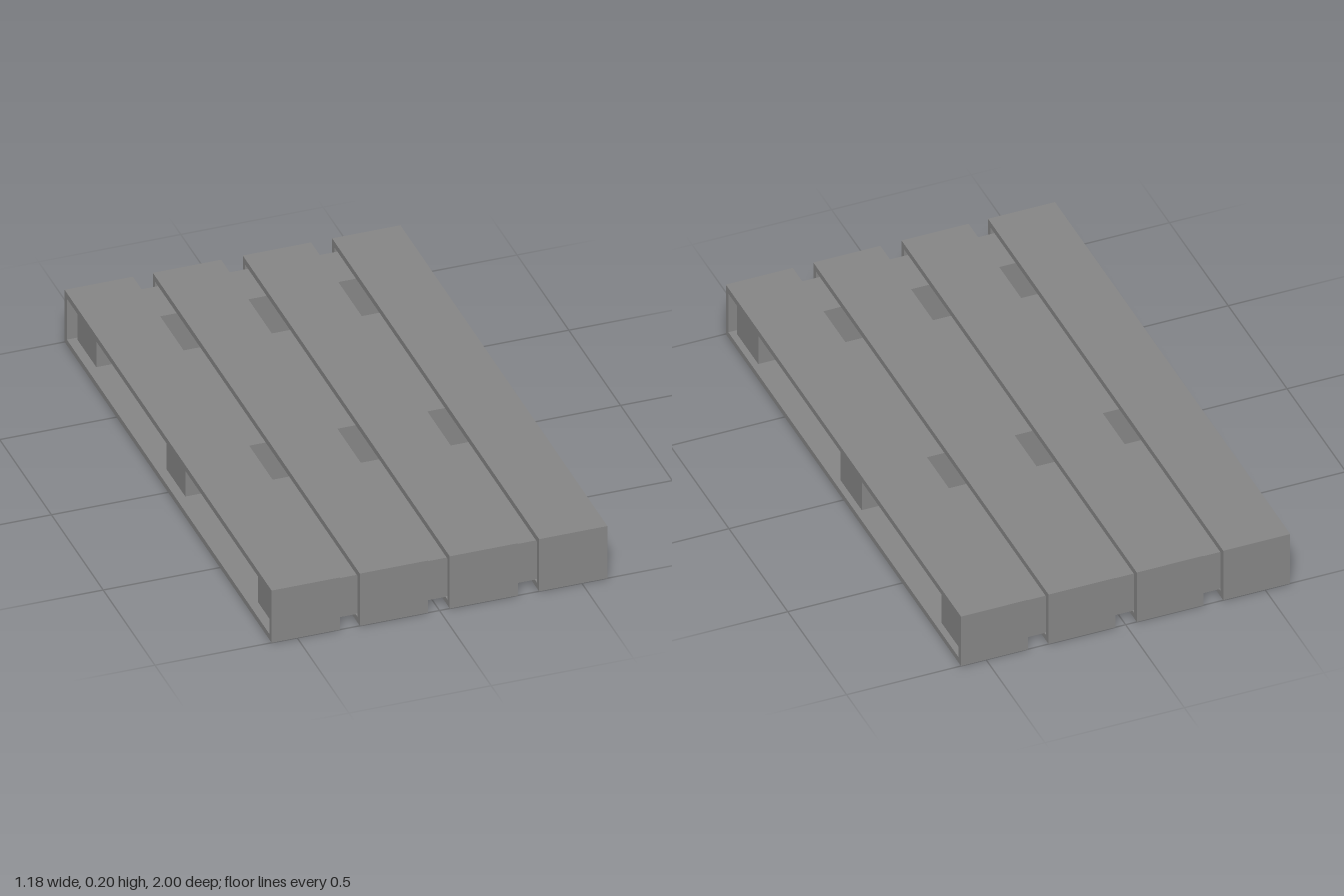
import * as THREE from 'three';

const HEIGHT = 0.203, LENGTH = 2, WALL = 0.022, SLAT_WIDTH = 0.24;

function rectangle(path, halfLength, bottom, top) {
  path.moveTo(-halfLength, bottom);
  path.lineTo(halfLength, bottom);
  path.lineTo(halfLength, top);
  path.lineTo(-halfLength, top);
  path.closePath();
  return path;
}

export function createModel() {
  const pallet = new THREE.Group();
  pallet.name = 'pallet';
  const material = new THREE.MeshStandardMaterial({ color: 0x868686 });

  // Hollow slats: rectangular loops running front to back, open at the sides
  const outline = rectangle(new THREE.Shape(), LENGTH / 2, 0, HEIGHT);
  outline.holes.push(rectangle(new THREE.Path(), LENGTH / 2 - WALL, WALL, HEIGHT - WALL));
  const slatGeometry = new THREE.ExtrudeGeometry(outline, { depth: SLAT_WIDTH, bevelEnabled: false });
  slatGeometry.translate(0, 0, -SLAT_WIDTH / 2).rotateY(Math.PI / 2);
  [-0.47, -0.16, 0.156, 0.47].forEach((x, i) => {
    const slat = new THREE.Mesh(slatGeometry, material);
    slat.name = `slat${i + 1}`;
    slat.position.x = x;
    pallet.add(slat);
  });

  // Cross beams let slightly into the lower boards, just short of the upper ones
  const beamBottom = 0.02, beamTop = 0.172;
  const beamGeometry = new THREE.BoxGeometry(1.125, beamTop - beamBottom, 0.18);
  [['backBeam', -0.873], ['middleBeam', -0.013], ['frontBeam', 0.867]].forEach(([name, z]) => {
    const beam = new THREE.Mesh(beamGeometry, material);
    beam.name = name;
    beam.position.set(0.005, (beamBottom + beamTop) / 2, z);
    pallet.add(beam);
  });

  return pallet;
}
